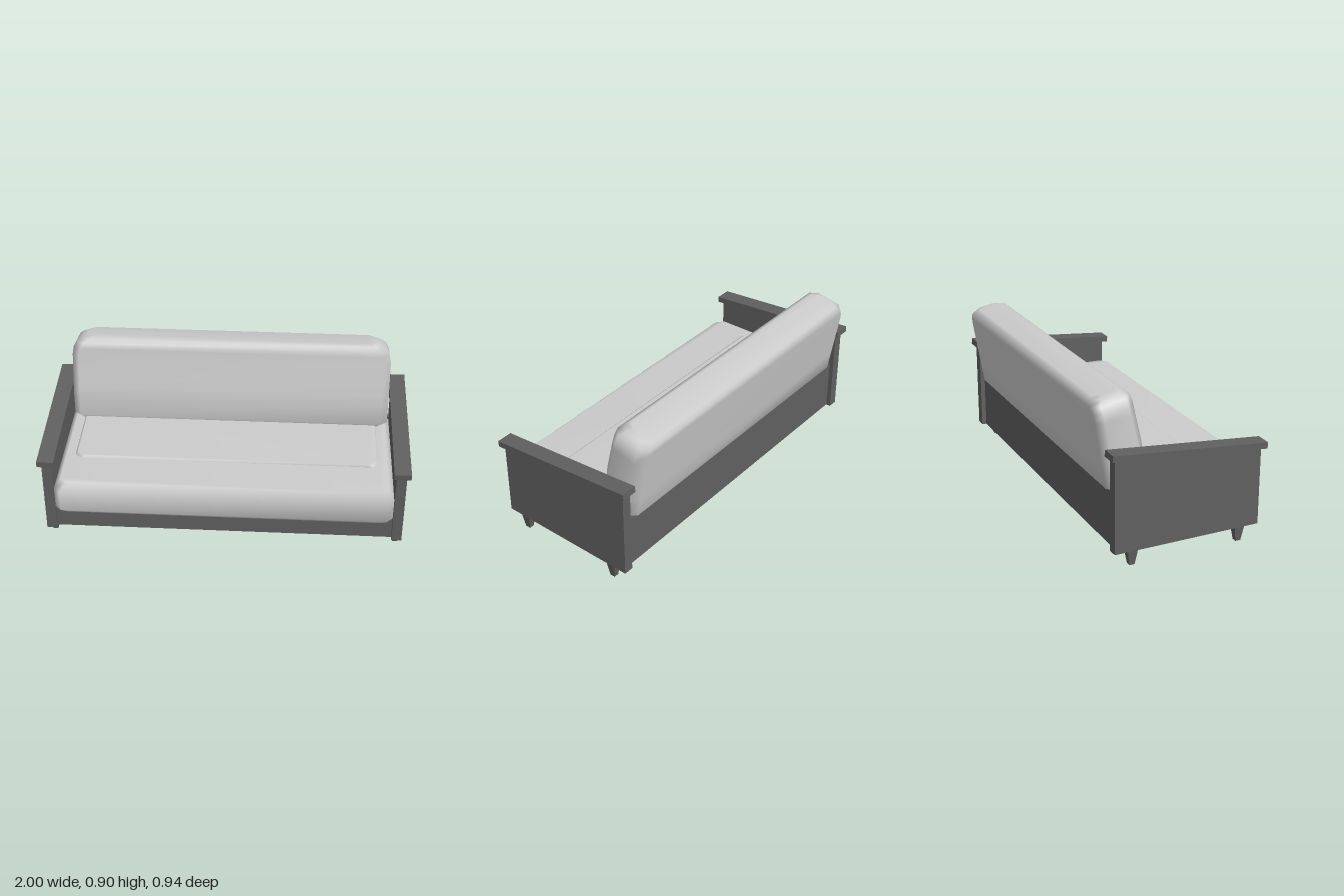
import * as THREE from 'three';

const fabric = new THREE.MeshStandardMaterial({ color: 0xcccccc });
const wood = new THREE.MeshStandardMaterial({ color: 0x606060, flatShading: true });

function add(parent, name, geometry, material, x = 0, y = 0, z = 0) {
  const mesh = new THREE.Mesh(geometry, material);
  mesh.name = name;
  mesh.position.set(x, y, z);
  parent.add(mesh);
  return mesh;
}

// Smooth cushion: rectangles with cut corners stacked upwards.
// Each row is [height, half width, front z, back z]; c is the corner size,
// steps the number of sides each corner has.
function cushion(rows, c, steps = 1) {
  const pos = [], index = [], n = 4 * (steps + 1);
  for (const [y, w, f, b] of rows) {
    const centres = [[w - c, f - c], [w - c, b + c], [c - w, b + c], [c - w, f - c]];
    centres.forEach(([x, z], k) => {
      for (let i = 0; i <= steps; i++) {
        const t = (1 - k - i / steps) * Math.PI / 2;
        pos.push(x + c * Math.cos(t), y, z + c * Math.sin(t));
      }
    });
  }
  for (let r = 0; r < rows.length - 1; r++) {
    for (let i = 0; i < n; i++) {
      const a = r * n + i, b = r * n + (i + 1) % n;
      index.push(a, b, b + n, a, b + n, a + n);
    }
  }
  // bottom and top caps
  const t = (rows.length - 1) * n;
  for (let i = 1; i < n - 1; i++) {
    index.push(0, i + 1, i);
    index.push(t, t + i, t + i + 1);
  }
  const g = new THREE.BufferGeometry();
  g.setAttribute('position', new THREE.Float32BufferAttribute(pos, 3));
  g.setIndex(index);
  g.computeVertexNormals();
  return g;
}

// Side panel: its top edge rises towards the back
function sidePanel() {
  const shape = new THREE.Shape([[-0.43, 0.082], [0.398, 0.082], [0.398, 0.6], [-0.43, 0.52]]
    .map(([x, y]) => new THREE.Vector2(x, y)));
  const g = new THREE.ExtrudeGeometry(shape, { depth: 0.055, bevelEnabled: false });
  g.translate(0, 0, -0.0275);
  g.rotateY(Math.PI / 2);
  return g;
}

// Square leg, narrower at the foot
function leg() {
  const g = new THREE.CylinderGeometry(0.0275 * Math.SQRT2, 0.015 * Math.SQRT2, 0.083, 4);
  g.rotateY(Math.PI / 4);
  g.scale(0.92, 1, 1);
  return g;
}

export function createModel() {
  const sofa = new THREE.Group();
  sofa.name = 'sofa';

  // Arms and legs, mirrored
  for (const [s, side] of [[1, 'left'], [-1, 'right']]) {
    const arm = new THREE.Group();
    arm.name = side + 'Arm';
    sofa.add(arm);
    add(arm, 'sidePanel', sidePanel(), wood, s * 0.953);
    const rest = add(arm, 'armrest', new THREE.BoxGeometry(0.091, 0.034, 0.88), wood, s * 0.9545, 0.569, 0.019);
    rest.rotation.x = 0.096;
    add(arm, 'frontLeg', leg(), wood, s * 0.955, 0.0415, 0.322);
    add(arm, 'backLeg', leg(), wood, s * 0.955, 0.0415, -0.296);
  }

  // Frame between the arms, open underneath
  add(sofa, 'frontRail', new THREE.BoxGeometry(1.86, 0.133, 0.02), wood, 0, 0.1495, 0.395);
  add(sofa, 'backPanel', new THREE.BoxGeometry(1.86, 0.303, 0.02), wood, 0, 0.2345, -0.362);

  // Seat with a thin raised pad, rising slightly towards the back
  const seat = new THREE.Group();
  seat.name = 'seatCushion';
  seat.position.set(0, 0.2, 0.43);
  seat.rotation.x = 0.022;
  sofa.add(seat);
  add(seat, 'seat', cushion([
    [0.192, 0.89, 0.425, -0.33], [0.235, 0.922, 0.467, -0.365],
    [0.357, 0.922, 0.467, -0.365], [0.397, 0.89, 0.425, -0.33],
  ], 0.035), fabric, 0, -0.2, -0.43);
  add(seat, 'seatPad', cushion([
    [0.385, 0.84, 0.196, -0.32], [0.4, 0.84, 0.196, -0.32], [0.407, 0.83, 0.186, -0.31],
  ], 0.045, 4), fabric, 0, -0.2, -0.43);

  // Backrest, leaning back
  const back = add(sofa, 'backrest', cushion([
    [-0.09, 0.87, 0.185, 0.036], [-0.055, 0.905, 0.215, 0],
    [0.06, 0.905, 0.228, 0], [0.13, 0.905, 0.23, 0],
    [0.31, 0.905, 0.219, 0], [0.355, 0.897, 0.219, 0],
    [0.388, 0.878, 0.219, 0], [0.41, 0.85, 0.198, 0.02],
    [0.423, 0.82, 0.18, 0.036],
  ], 0.04), fabric, 0, 0.45, -0.402);
  back.rotation.x = -0.168;

  return sofa;
}
